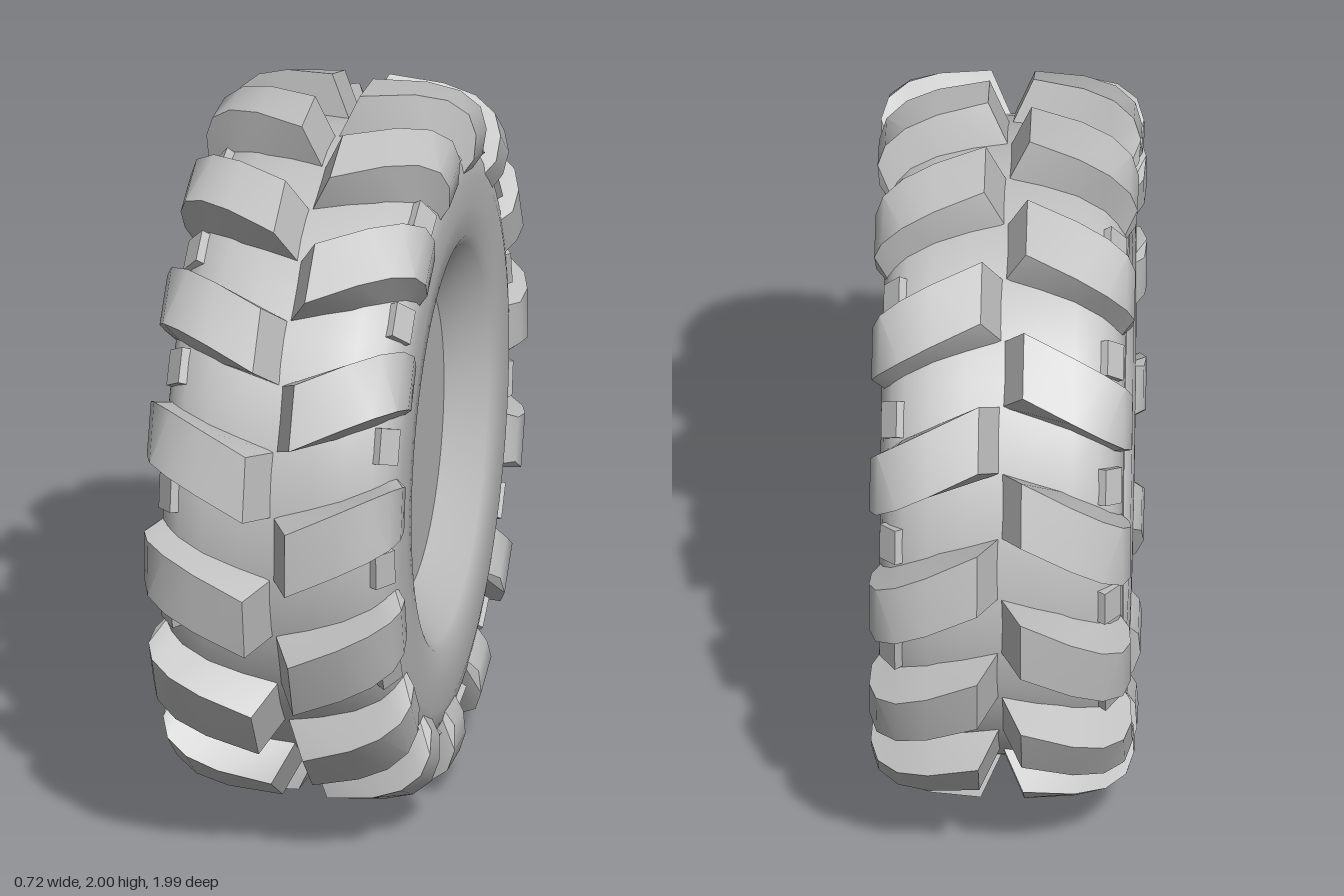
import * as THREE from 'three';
import { toCreasedNormals } from 'three/addons/utils/BufferGeometryUtils.js';

const DEG = Math.PI / 180;
const LUGS = 15;
const PITCH = 360 / LUGS;

// Point on the wheel: x along the axle, angle in degrees from the top towards the front
function wheelPoint(x, r, deg) {
  return [x, r * Math.cos(deg * DEG), r * Math.sin(deg * DEG)];
}

// Stations of one lug from centre line to sidewall:
// crown x, crown r, root x, root r, crown half width, root half width (degrees)
const STATIONS = [
  [0.06, 1.0, 0.0, 0.87, 5.3, 6.0],
  [0.2, 0.993, 0.19, 0.85, 5.3, 6.2],
  [0.285, 0.972, 0.27, 0.82, 5.3, 6.2],
  [0.34, 0.93, 0.305, 0.79, 5.2, 6.0],
  [0.36, 0.87, 0.32, 0.77, 4.9, 5.7],
  [0.355, 0.80, 0.325, 0.755, 4.4, 5.2],
  [0.33, 0.76, 0.32, 0.745, 4.0, 4.8],
];

// Slanted lug swept through the stations, side = 1 for +x and -1 for -x
function lugGeometry(side) {
  const rings = STATIONS.map(([cx, cr, rx, rr, cw, rw]) => {
    const a = -8.5 * (cx - 0.06) / 0.3;
    return [
      wheelPoint(side * rx, rr, a - rw),
      wheelPoint(side * cx, cr, a - cw),
      wheelPoint(side * cx, cr, a + cw),
      wheelPoint(side * rx, rr, a + rw),
    ];
  });
  const pos = [];
  const tri = (a, b, c) => pos.push(...a, ...(side > 0 ? [...b, ...c] : [...c, ...b]));
  const quad = (a, b, c, d) => { tri(a, b, c); tri(a, c, d); };
  for (let i = 0; i < rings.length - 1; i++) {
    const p = rings[i], q = rings[i + 1];
    for (let k = 0; k < 3; k++) quad(p[k], p[k + 1], q[k + 1], q[k]);
  }
  const first = rings[0], last = rings[rings.length - 1];
  quad(first[3], first[2], first[1], first[0]);
  quad(last[0], last[1], last[2], last[3]);
  const g = new THREE.BufferGeometry();
  g.setAttribute('position', new THREE.Float32BufferAttribute(pos, 3));
  g.computeVertexNormals();
  return toCreasedNormals(g, 35 * DEG);
}

// Tyre carcass with a dished, closed hub on both sides
function carcassGeometry() {
  const half = [
    [0, 0.215], [0.43, 0.215], [0.55, 0.315], [0.575, 0.33], [0.66, 0.335], [0.74, 0.334],
    [0.785, 0.325], [0.82, 0.305], [0.85, 0.27], [0.872, 0.2], [0.882, 0.1],
  ];
  const points = [
    ...half.map(([r, x]) => new THREE.Vector2(r, -x)),
    ...half.slice().reverse().map(([r, x]) => new THREE.Vector2(r, x)),
  ];
  const g = new THREE.LatheGeometry(points, 72);
  g.rotateZ(-Math.PI / 2);
  return toCreasedNormals(g, 30 * DEG);
}

export function createModel() {
  const group = new THREE.Group();
  group.name = 'tractorTyre';
  const rubber = new THREE.MeshStandardMaterial({ color: 0xc0c0c0 });
  rubber.name = 'light grey rubber';

  const wheel = new THREE.Group();
  wheel.name = 'wheel';
  wheel.position.y = 1;
  group.add(wheel);

  const add = (geometry, name, parent) => {
    const mesh = new THREE.Mesh(geometry, rubber);
    mesh.name = name;
    parent.add(mesh);
    return mesh;
  };
  add(carcassGeometry(), 'carcass', wheel);

  // Two rows of lugs, staggered by half a pitch, with a small shoulder pad in each gap
  const padGeometry = new THREE.BoxGeometry(0.03, 0.07, 0.1);
  for (const side of [1, -1]) {
    const row = new THREE.Group();
    row.name = side > 0 ? 'leftTread' : 'rightTread';
    wheel.add(row);
    const geometry = lugGeometry(side);
    const phase = side > 0 ? 16.8 : 4.8;
    for (let i = 0; i < LUGS; i++) {
      const lug = add(geometry, 'lug', row);
      lug.rotation.x = (phase + i * PITCH) * DEG;

      const spoke = new THREE.Group();
      spoke.name = 'shoulderPadMount';
      spoke.rotation.x = (phase - 8.5 + (i + 0.5) * PITCH) * DEG;
      row.add(spoke);
      const pad = add(padGeometry, 'shoulderPad', spoke);
      pad.position.set(side * 0.299, 0.828, 0);
      pad.rotation.z = side * 38 * DEG;
    }
  }
  return group;
}
